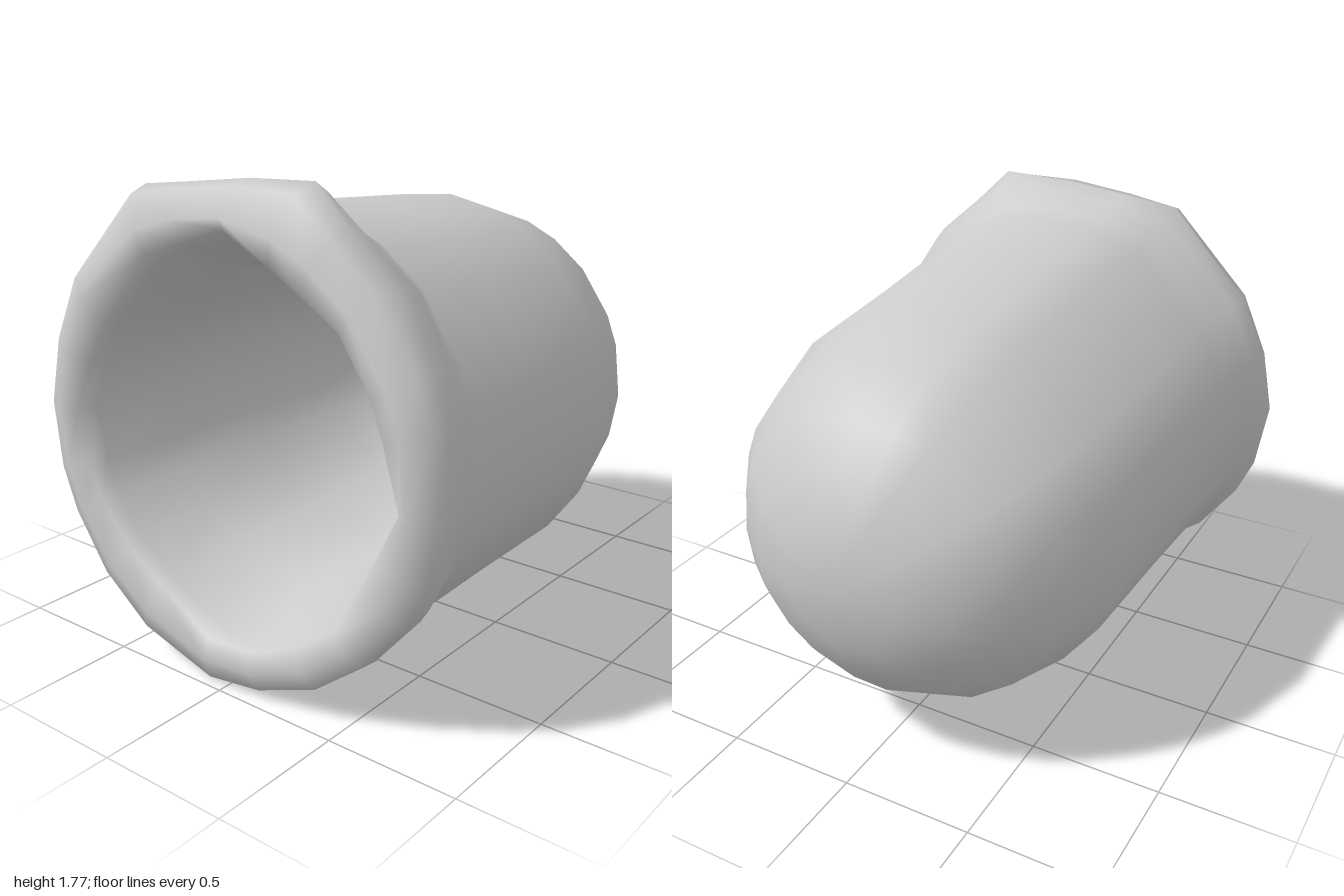
import * as THREE from 'three';

// Uneven hand-formed outline of the flared rim (x, y), clockwise from the top left
const RIM = [
  [-0.42, 1.71], [-0.2, 1.735], [0.05, 1.765], [0.31, 1.775], [0.46, 1.63], [0.63, 1.48],
  [0.78, 1.25], [0.835, 1.1], [0.865, 0.83], [0.835, 0.6], [0.765, 0.46], [0.6, 0.27],
  [0.4, 0.12], [0.15, 0.03], [-0.08, 0], [-0.4, 0.1], [-0.61, 0.26], [-0.76, 0.47],
  [-0.83, 0.63], [-0.87, 0.88], [-0.82, 1.13], [-0.72, 1.37],
].reverse();

// Coarse polygon of the opening inside the rim
const MOUTH = [
  [0.05, 1.62], [0.57, 1.32], [0.75, 0.85], [0.47, 0.32],
  [0, 0.13], [-0.56, 0.48], [-0.71, 0.9], [-0.38, 1.47],
];

const MID = 0.87; // height of the rim's axis

// Distance from the rim's axis to the mouth polygon along angle a
function mouthRadius(a) {
  const c = Math.cos(a), s = Math.sin(a);
  for (let i = 0; i < MOUTH.length; i++) {
    const [px, py] = MOUTH[i], [qx, qy] = MOUTH[(i + 1) % MOUTH.length];
    const p = c * (py - MID) - s * px, q = c * (qy - MID) - s * qx;
    if (p >= 0 && q <= 0) {
      const t = p / (p - q);
      return Math.hypot(px + t * (qx - px), py + t * (qy - py) - MID);
    }
  }
  return 0.7;
}

// Cross-sections: z, radius, centre height, share of rim outline, share of mouth polygon, lean
const SECTIONS = [
  // closed dome end
  [-1, 0, 0.82, 0, 0, 0],
  [-0.98, 0.225, 0.82, 0, 0, 0],
  [-0.9, 0.4, 0.82, 0, 0, 0],
  [-0.79, 0.535, 0.825, 0, 0, 0],
  [-0.62, 0.66, 0.825, 0, 0, 0],
  [-0.32, 0.75, 0.83, 0, 0, 0],
  // tapered sleeve
  [0.15, 0.77, 0.85, 0, 0, 0],
  [0.58, 0.795, 0.87, 0, 0, 0],
  // flared, rolled rim
  [0.74, 0.815, 0.87, 0.1, 0, 0.09],
  [0.8, 0.82, 0.87, 0.65, 0, 0.07],
  [0.865, 0.85, 0.87, 1, 0, 0.055],
  [0.93, 0.83, 0.87, 0.75, 0, 0.035],
  [0.975, 0.775, 0.87, 0.1, 0.1, 0.025],
  [0.955, 0.71, 0.87, 0, 0.9, 0.025],
  [0.88, 0.66, 0.87, 0, 0.6, 0.03],
  // inner wall and hollow dome
  [0.62, 0.575, 0.87, 0, 0, 0],
  [0.2, 0.565, 0.87, 0, 0, 0],
  [-0.25, 0.555, 0.865, 0, 0, 0],
  [-0.5, 0.49, 0.855, 0, 0, 0],
  [-0.67, 0.37, 0.845, 0, 0, 0],
  [-0.77, 0.2, 0.84, 0, 0, 0],
  [-0.8, 0, 0.83, 0, 0, 0],
];

export function createModel() {
  const group = new THREE.Group();
  const { lerp } = THREE.MathUtils;
  const positions = [];
  const index = [];
  const n = RIM.length;
  const start = []; // first vertex of each section; the two ends are single points

  for (const [z, radius, cy, rim, mouth, lean] of SECTIONS) {
    start.push(positions.length / 3);
    if (radius === 0) {
      positions.push(0, cy, z);
      continue;
    }
    for (const [rx, ry] of RIM) {
      const a = Math.atan2(ry - MID, rx);
      const r = lerp(radius, mouthRadius(a), mouth);
      const x = lerp(r * Math.cos(a), rx, rim);
      const y = lerp(cy + r * Math.sin(a), ry, rim);
      // the mouth leans back at the top and a little towards one side
      positions.push(x, y, z - lean * ((y - MID) / MID + 0.75 * x));
    }
  }

  const last = SECTIONS.length - 1;
  for (let i = 0; i < last; i++) {
    for (let j = 0; j < n; j++) {
      const k = (j + 1) % n;
      const a = start[i], b = start[i + 1];
      if (i === 0) index.push(a, b + k, b + j);
      else if (i === last - 1) index.push(a + j, a + k, b);
      else index.push(a + j, a + k, b + j, a + k, b + k, b + j);
    }
  }

  const geometry = new THREE.BufferGeometry();
  geometry.setAttribute('position', new THREE.Float32BufferAttribute(positions, 3));
  geometry.setIndex(index);
  geometry.computeVertexNormals();

  const cup = new THREE.Mesh(geometry, new THREE.MeshStandardMaterial({ color: 0xcccccc }));
  cup.name = 'thimbleCup';
  group.add(cup);
  return group;
}
